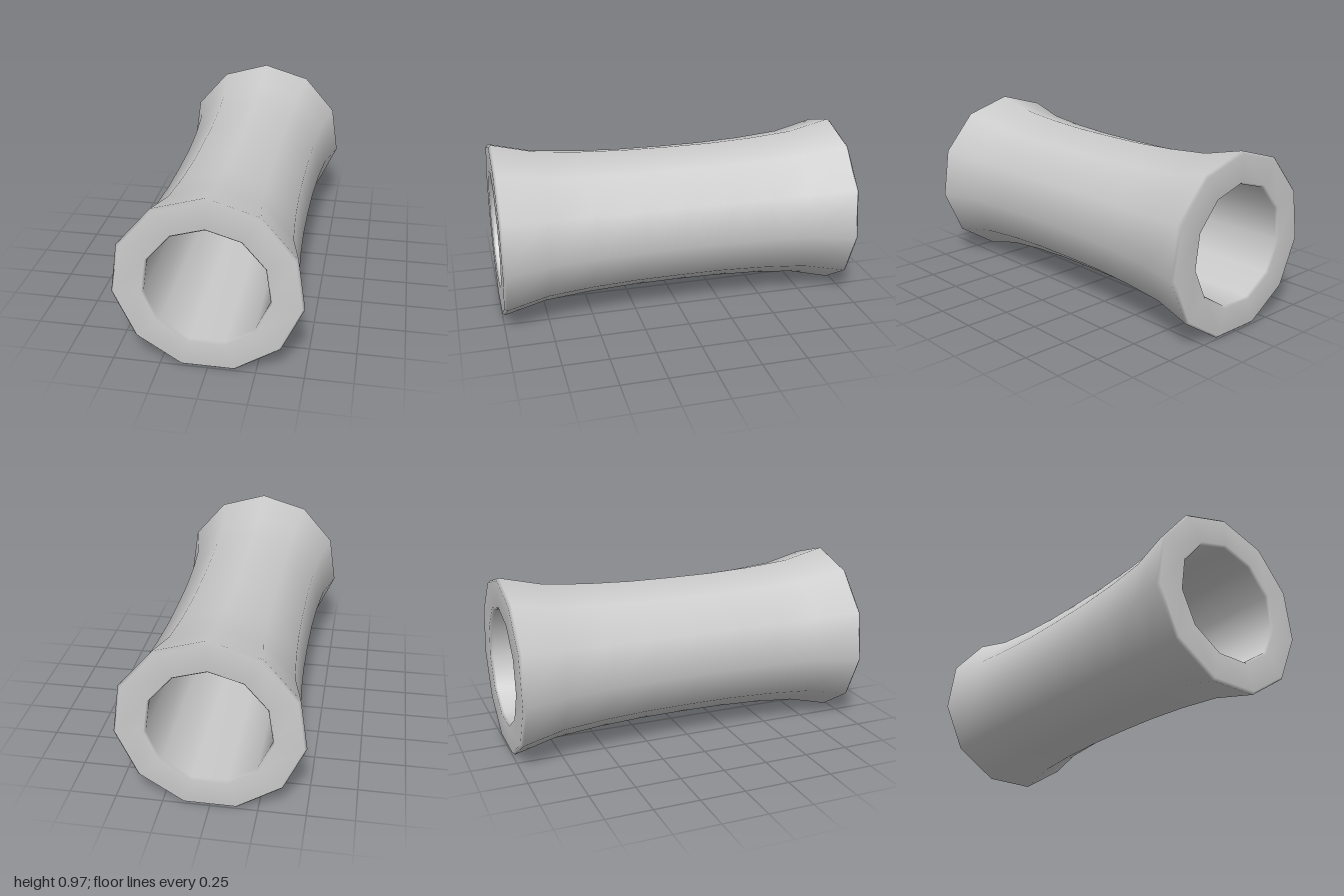
import * as THREE from 'three';

export function createModel() {
  const group = new THREE.Group();
  const sides = 11, rim = 0.495, bore = 0.324;
  const centreY = rim * Math.cos(Math.PI / sides);

  // Half of the wall section as [radius, distance from the middle]:
  // flared outside, softened rim, straight bore
  const half = [
    [0.403, 0], [0.405, 0.25], [0.416, 0.5], [0.438, 0.75], [rim, 0.985],
    [0.482, 1], [bore + 0.011, 1], [bore, 0.985], [bore, 0],
  ];
  const point = (s) => ([r, d]) => new THREE.Vector2(r, s * d);

  // Closed loop: bore middle, lower end, outside, upper end, back to bore middle
  const profile = [
    ...half.slice().reverse().map(point(-1)),
    ...half.slice(1).map(point(1)),
  ];

  // Eleven-sided tube lying along z with a corner at the top
  const geometry = new THREE.LatheGeometry(profile, sides);
  geometry.rotateX(-Math.PI / 2);
  geometry.translate(0, centreY, 0);

  const tube = new THREE.Mesh(geometry, new THREE.MeshStandardMaterial({ color: 0xcccccc }));
  tube.name = 'flaredTube';
  group.add(tube);
  return group;
}
